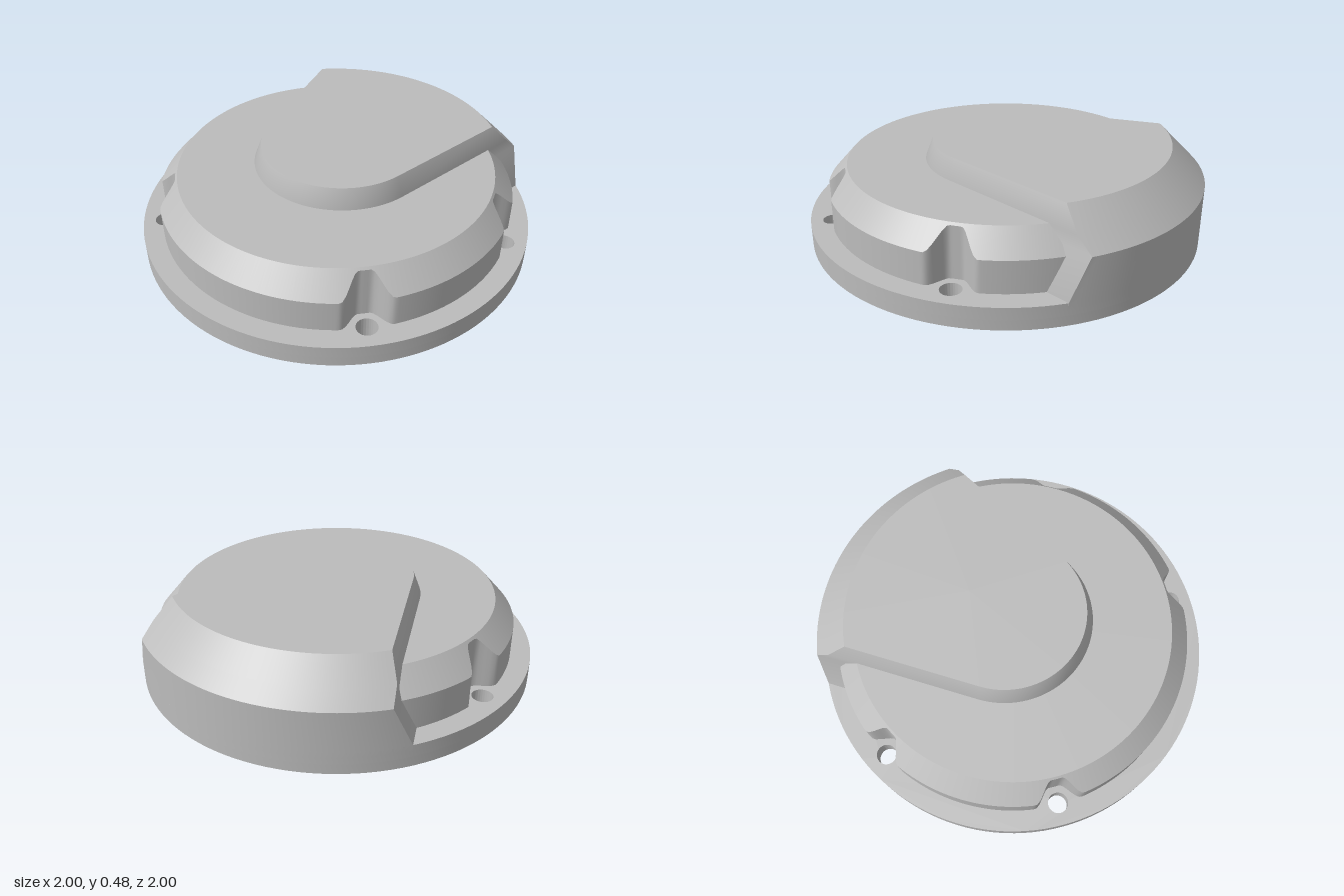
import * as THREE from 'three';
import { toCreasedNormals } from 'three/addons/utils/BufferGeometryUtils.js';

const metal = new THREE.MeshStandardMaterial({ color: 0xbcbcbc });
metal.name = 'cast grey metal';

// bolt hole centres as [x, z]
const HOLES = [[0.86, -0.24], [0.63, 0.63], [-0.63, 0.63], [-0.86, -0.24]];

// Skin a stack of rings (counter-clockwise from above, bottom to top) and cap the top.
function loft(rings, centre) {
  const n = rings[0].length;
  const index = [];
  const points = rings.flat();
  rings.slice(1).forEach((_, r) => {
    for (let j = 0; j < n; j++) {
      const a = r * n + j, b = r * n + (j + 1) % n;
      index.push(a, b, b + n, a, b + n, a + n);
    }
  });
  const top = (rings.length - 1) * n;
  points.push(centre);
  for (let j = 0; j < n; j++) index.push(points.length - 1, top + j, top + (j + 1) % n);
  const g = new THREE.BufferGeometry();
  g.setAttribute('position', new THREE.Float32BufferAttribute(points.flat(), 3));
  g.setIndex(index);
  return toCreasedNormals(g, 0.6);
}

function addPart(group, name, geometry) {
  const mesh = new THREE.Mesh(geometry, metal);
  mesh.name = name;
  group.add(mesh);
}

// Radius left by the bolt scallops at angle a
function scallopRadius(a) {
  let r = 0.9;
  for (const [x, z] of HOLES) {
    const d = a - Math.atan2(-z, x);
    const t = Math.abs(Math.atan2(Math.sin(d), Math.cos(d))) * 0.89;
    r = Math.min(r, 0.81 + 0.09 * THREE.MathUtils.smoothstep(t, 0.03, 0.12));
  }
  return r;
}

// Recess under the flange: follows the scalloped wall, with an angular web at the front left
function recessPath() {
  const points = [];
  for (let i = 0; i <= 120; i++) {
    const a = THREE.MathUtils.degToRad(121 - 204 * i / 120);
    const r = scallopRadius(a) - 0.03;
    points.push(new THREE.Vector2(r * Math.cos(a), r * Math.sin(a)));
  }
  for (const [x, z] of [[-0.06, 0.59], [-0.03, 0.31], [-0.75, 0.25]]) {
    points.push(new THREE.Vector2(x, -z));
  }
  return new THREE.Path(points);
}

// One round layer of the flange with four bolt holes
function flangeLayer(bottom, top, cutouts) {
  const shape = new THREE.Shape().absarc(0, 0, 1, 0, Math.PI * 2);
  const bolts = HOLES.map(([x, z]) => new THREE.Path().absarc(x, -z, 0.05, 0, Math.PI * 2, true));
  shape.holes.push(...bolts, ...cutouts);
  const g = new THREE.ExtrudeGeometry(shape, {
    depth: top - bottom, curveSegments: 64, bevelEnabled: false,
  });
  g.rotateX(-Math.PI / 2).translate(0, bottom, 0);
  return toCreasedNormals(g, 0.5);
}

// Chamfered round body; each scallop wall rises until it meets the chamfer
function bodyGeometry() {
  const n = 360;
  const rings = [[], [], []];
  for (let j = 0; j < n; j++) {
    const a = j / n * Math.PI * 2;
    const r = scallopRadius(a);
    [[0.1, r], [0.27 + 1.1 * (0.9 - r), r], [0.38, 0.8]].forEach(([y, radius], k) => {
      rings[k].push([radius * Math.cos(a), y, -radius * Math.sin(a)]);
    });
  }
  return loft(rings, [0, 0.38, 0]);
}

// Outline of the raised cover: round nose, straight flaring sides, arc at the rear rim
function coverRing(y, rim, offset) {
  const beta = 0.234, noseZ = -0.047, noseR = 0.407 + offset;
  const ring = [];
  for (let i = 0; i <= 48; i++) {
    const a = -Math.PI + beta + (Math.PI - 2 * beta) * i / 48;
    ring.push([noseR * Math.cos(a), y, noseZ - noseR * Math.sin(a)]);
  }
  const d = noseR + noseZ * Math.sin(beta);
  const start = Math.acos(d / rim) - beta;
  for (let i = 0; i <= 48; i++) {
    const a = start + (Math.PI - 2 * start) * i / 48;
    ring.push([rim * Math.cos(a), y, -rim * Math.sin(a)]);
  }
  return ring;
}

export function createModel() {
  const group = new THREE.Group();
  group.name = 'engineCover';
  addPart(group, 'flangeRing', flangeLayer(0, 0.05, [recessPath()]));
  addPart(group, 'flangePlate', flangeLayer(0.05, 0.11, []));
  addPart(group, 'scallopedBody', bodyGeometry());

  // rows of height, rear rim radius and side flare
  const rows = [[0.08, 1, 0.12], [0.11, 1, 0.12], [0.31, 1, 0.038], [0.38, 0.93, 0.038], [0.48, 0.83, 0]];
  addPart(group, 'raisedCover', loft(rows.map((r) => coverRing(...r)), [0, 0.48, -0.25]));
  return group;
}
